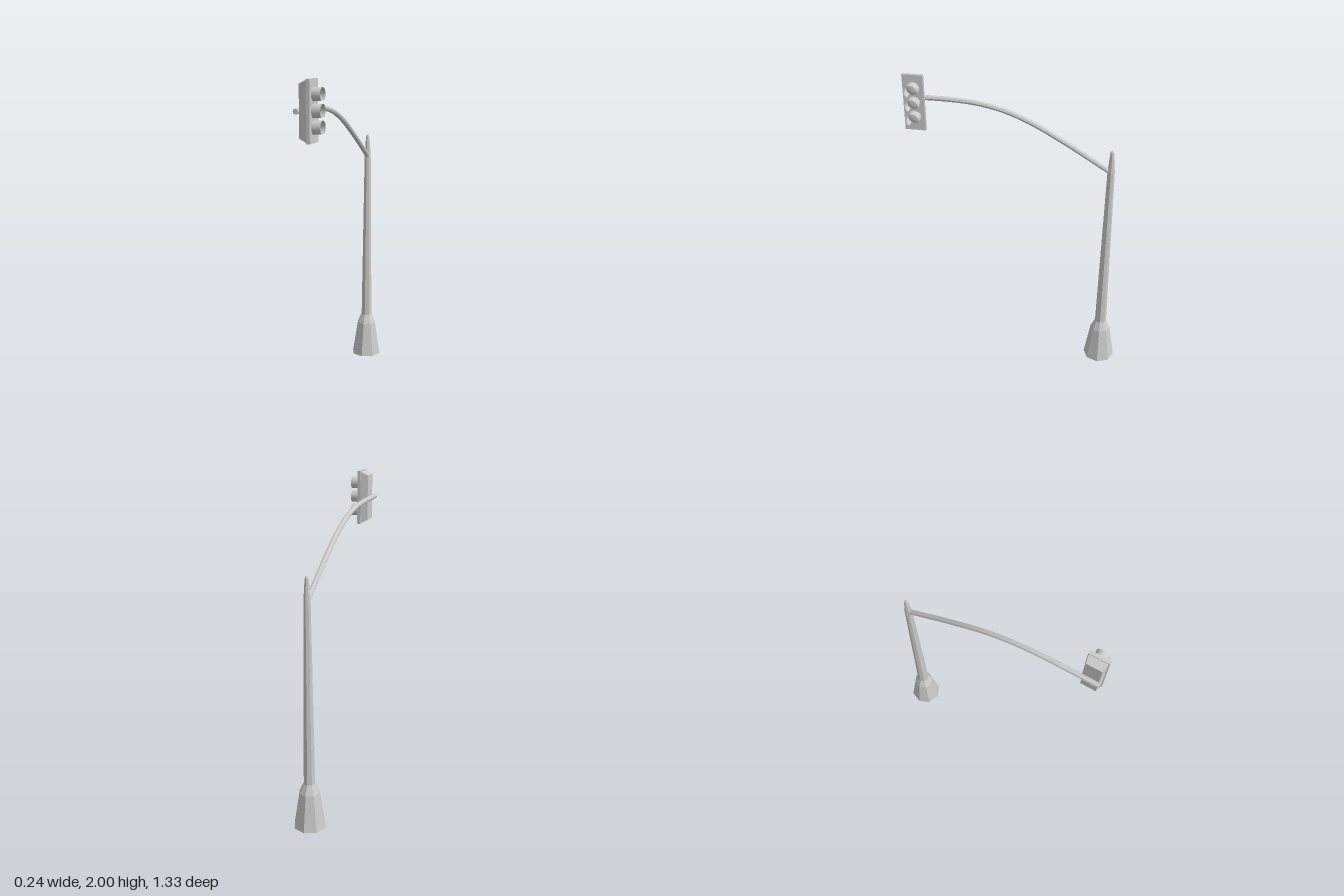
import * as THREE from 'three';

const POLE_X = -0.018, POLE_Z = -0.567, HEAD_Z = 0.601;

export function createModel() {
  const root = new THREE.Group();
  root.name = 'trafficLight';
  const faceted = new THREE.MeshStandardMaterial({ color: 0xcccccc, flatShading: true });
  const smooth = new THREE.MeshStandardMaterial({ color: 0xcccccc });
  const thin = new THREE.MeshStandardMaterial({ color: 0xcccccc, side: THREE.DoubleSide });

  const add = (parent, name, geometry, material, x = 0, y = 0, z = 0) => {
    const mesh = new THREE.Mesh(geometry, material);
    mesh.name = name;
    mesh.position.set(x, y, z);
    parent.add(mesh);
    return mesh;
  };

  // Eight-sided pole: flared foot, slow taper, rounded tip
  const profile = [
    [0, 0], [0.101, 0], [0.064, 0.23], [0.037, 0.29], [0.022, 1.43],
    [0.014, 1.54], [0.011, 1.562], [0.006, 1.573], [0, 1.576],
  ].map(([r, y]) => new THREE.Vector2(r, y));
  add(root, 'pole', new THREE.LatheGeometry(profile, 8), faceted, POLE_X, 0, POLE_Z);

  // Curved arm reaching forward, levelling off at the signal
  const path = new THREE.CatmullRomCurve3([
    [1.428, -0.567], [1.605, -0.28], [1.72, -0.07], [1.782, 0.09],
    [1.815, 0.25], [1.825, 0.41], [1.825, 0.53], [1.825, 0.659],
  ].map(([y, z]) => new THREE.Vector3(POLE_X, y, z)));
  add(root, 'arm', new THREE.TubeGeometry(path, 32, 0.016, 8), faceted);
  add(root, 'armEnd', new THREE.CircleGeometry(0.016, 8), faceted, POLE_X, 1.825, 0.659);

  // Signal head, facing +x
  const head = new THREE.Group();
  head.name = 'signalHead';
  head.position.set(0, 1.826, HEAD_Z);
  root.add(head);

  // Housing narrows towards its back
  const housing = new THREE.BoxGeometry(0.047, 0.338, 0.116);
  const p = housing.attributes.position;
  for (let i = 0; i < p.count; i++) {
    if (p.getX(i) < 0) p.setXYZ(i, p.getX(i), p.getY(i) * 0.87, p.getZ(i) * 0.82);
  }
  add(head, 'housing', housing, faceted, 0.0225);
  add(head, 'facePlate', new THREE.BoxGeometry(0.022, 0.348, 0.124), faceted, 0.056);

  // Three lenses, each under a visor open at the bottom
  const gap = Math.PI * 0.35;
  const visor = new THREE.CylinderGeometry(
    0.04, 0.04, 0.052, 24, 1, true, Math.PI / 2 + gap / 2, Math.PI * 2 - gap);
  const lens = new THREE.SphereGeometry(0.039, 24, 6, 0, Math.PI * 2, 0, Math.PI / 2);
  lens.scale(1, 0.35, 1);
  for (const geometry of [visor, lens]) geometry.rotateZ(-Math.PI / 2);
  ['upper', 'middle', 'lower'].forEach((level, i) => {
    const y = (1 - i) * 0.09;
    add(head, level + 'Visor', visor, thin, 0.093, y);
    add(head, level + 'Lens', lens, smooth, 0.067, y);
  });
  return root;
}
